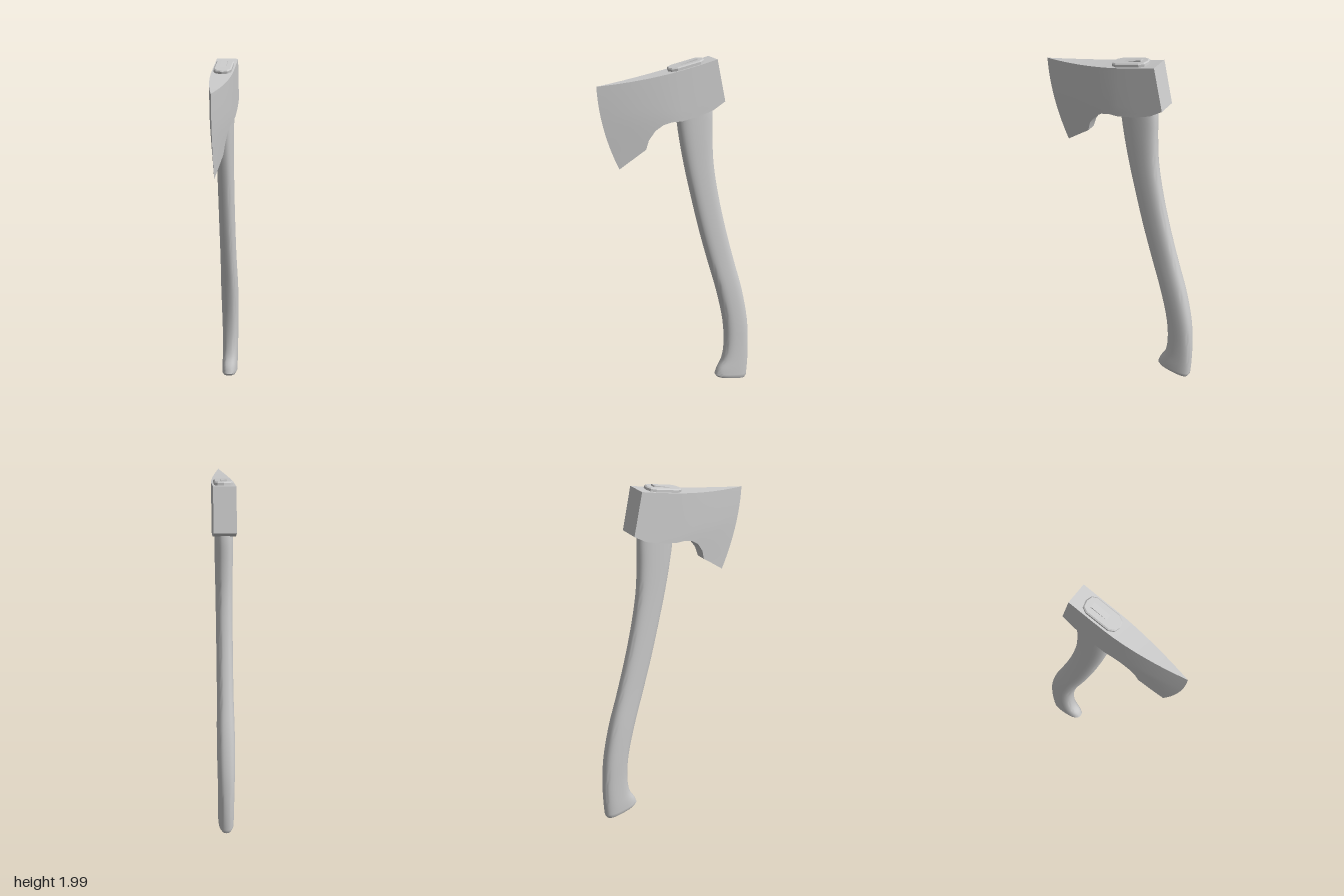
import * as THREE from 'three';
import { mergeGeometries, toCreasedNormals } from 'three/addons/utils/BufferGeometryUtils.js';

const material = new THREE.MeshStandardMaterial({ color: 0xcccccc });
const lerp = THREE.MathUtils.lerp;

// Grid surface from fn(i, j) -> [x, y, z]; it faces along (i direction) x (j direction)
function grid(fn, nu, nv) {
  const pos = [], index = [];
  for (let j = 0; j <= nv; j++) for (let i = 0; i <= nu; i++) pos.push(...fn(i, j));
  for (let j = 0; j < nv; j++) {
    for (let i = 0; i < nu; i++) {
      const a = j * (nu + 1) + i, b = a + 1, d = a + nu + 1, c = d + 1;
      index.push(a, b, c, a, c, d);
    }
  }
  const g = new THREE.BufferGeometry();
  g.setAttribute('position', new THREE.Float32BufferAttribute(pos, 3));
  g.setIndex(index);
  return g;
}

function addMesh(parent, name, geometry) {
  const mesh = new THREE.Mesh(geometry, material);
  mesh.name = name;
  parent.add(mesh);
  return mesh;
}

// Axe head: columns from poll to cutting edge, [top z, bottom z, bottom y]
function headGeometry() {
  const columns = [
    [-0.21, -0.26, 1.755], [-0.15, -0.19, 1.713], [-0.08, -0.1, 1.685], [0, 0, 1.667],
    [0.06, 0.055, 1.667], [0.12, 0.105, 1.655], [0.18, 0.15, 1.625], [0.24, 0.185, 1.575],
    [0.29, 0.2, 1.522], [0.335, 0.235, 1.498], [0.38, 0.272, 1.472], [0.425, 0.31, 1.445],
    [0.465, 0.345, 1.42],
  ];
  const n = columns.length - 1, rows = 14;
  const topY = (z) => 1.945 - 0.188 * z + 0.126 * z * z;
  const edgeZ = (s) => 0.465 - 0.12 * s + 0.1 * s * (1 - s);

  // Point on the side surface; thickness falls off towards the curved edge
  const point = (i, j, side) => {
    const [zt, zb, yb] = columns[i], s = j / rows;
    const y = lerp(topY(zt), yb, s);
    const z = lerp(zt, zb, s) + 0.1 * s * (1 - s) * (i / n) ** 4;
    const low = THREE.MathUtils.clamp((1.7 - y) / 0.2, 0, 1);
    const d = (edgeZ((topY(0.465) - y) / (topY(0.465) - 1.42)) - z) * (1 - 0.2 * low);
    const k = i === n ? 1 : THREE.MathUtils.clamp(1 - d / 0.46, 0, 1);
    return [side * 0.06 * (1 - k ** 1.7), y, z];
  };
  const sides = [-1, 1];
  const merged = mergeGeometries([
    grid((i, j) => point(i, j, 1), n, rows),
    grid((i, j) => point(n - i, j, -1), n, rows),
    grid((i, j) => point(i, 0, sides[j]), n, 1),
    grid((i, j) => point(i, rows, -sides[j]), n, 1),
    grid((i, j) => point(0, j, sides[i]), 1, rows),
  ]);
  return toCreasedNormals(merged, 0.6);
}

// Handle: loft between a front and a back outline, [front z, front y, back z, back y, half width]
function handleGeometry() {
  const sections = [
    [-0.25, 0.055, -0.455, 0.02, 0.044], [-0.262, 0.09, -0.459, 0.07, 0.045],
    [-0.295, 0.15, -0.462, 0.15, 0.045], [-0.31, 0.25, -0.461, 0.25, 0.046],
    [-0.3, 0.4, -0.45, 0.4, 0.049], [-0.255, 0.6, -0.41, 0.6, 0.05],
    [-0.195, 0.8, -0.352, 0.8, 0.046], [-0.138, 1, -0.297, 1, 0.045],
    [-0.088, 1.2, -0.25, 1.2, 0.045], [-0.042, 1.4, -0.216, 1.4, 0.046],
    [-0.012, 1.56, -0.207, 1.56, 0.048], [0.005, 1.68, -0.205, 1.7, 0.049],
    [0.015, 1.8, -0.19, 1.82, 0.049],
  ];
  const front = new THREE.CatmullRomCurve3(sections.map((s) => new THREE.Vector3(s[4], s[1], s[0])));
  const back = new THREE.CatmullRomCurve3(sections.map((s) => new THREE.Vector3(s[4], s[3], s[2])));
  const rows = [], steps = 48, around = 32;
  for (let k = 0; k <= steps; k++) rows.push([front.getPoint(k / steps), back.getPoint(k / steps)]);
  // Bevelled butt, closed by a collapsed row
  const butt = [new THREE.Vector3(0.036, 0.04, -0.26), new THREE.Vector3(0.036, 0.004, -0.445)];
  const centre = butt[0].clone().lerp(butt[1], 0.5).setX(0);
  rows.unshift([centre, centre], butt);

  const power = (v) => Math.sign(v) * Math.abs(v) ** 0.75;
  const g = grid((i, j) => {
    const [f, b] = rows[j], a = (i % around) / around * Math.PI * 2;
    const t = 0.5 + 0.5 * power(Math.sin(a));
    return [f.x * power(Math.cos(a)), lerp(f.y, b.y, t), lerp(f.z, b.z, t)];
  }, around, rows.length - 1);
  return toCreasedNormals(g, 0.7);
}

// End of the handle showing above the eye of the head
function eyeGeometry() {
  const half = [[0, -0.1], [0.028, -0.092], [0.043, -0.066], [0.043, 0.068], [0.03, 0.092], [0, 0.1]];
  const outline = [...half, ...half.slice(1, -1).reverse().map(([x, y]) => [-x, y])];
  const shape = new THREE.Shape(outline.map(([x, y]) => new THREE.Vector2(x, y)));
  const g = new THREE.ExtrudeGeometry(shape, {
    depth: 0.05, bevelEnabled: true, bevelThickness: 0.006, bevelSize: 0.006, bevelSegments: 1,
  });
  return g.rotateX(-Math.PI / 2).translate(0, -0.056, 0);
}

export function createModel() {
  const model = new THREE.Group();
  model.name = 'axe';
  addMesh(model, 'head', headGeometry());
  addMesh(model, 'handle', handleGeometry());

  const eye = new THREE.Group();
  eye.name = 'handleEnd';
  eye.position.set(0, 1.974, -0.045);
  eye.rotation.x = 0.2;
  model.add(eye);
  addMesh(eye, 'handleTip', eyeGeometry());
  // Wedge driven into the handle end, rising towards the back
  const wedge = addMesh(eye, 'wedge', new THREE.BoxGeometry(0.032, 0.03, 0.1));
  wedge.position.set(0, -0.011, -0.018);
  wedge.rotation.x = 0.07;
  return model;
}
